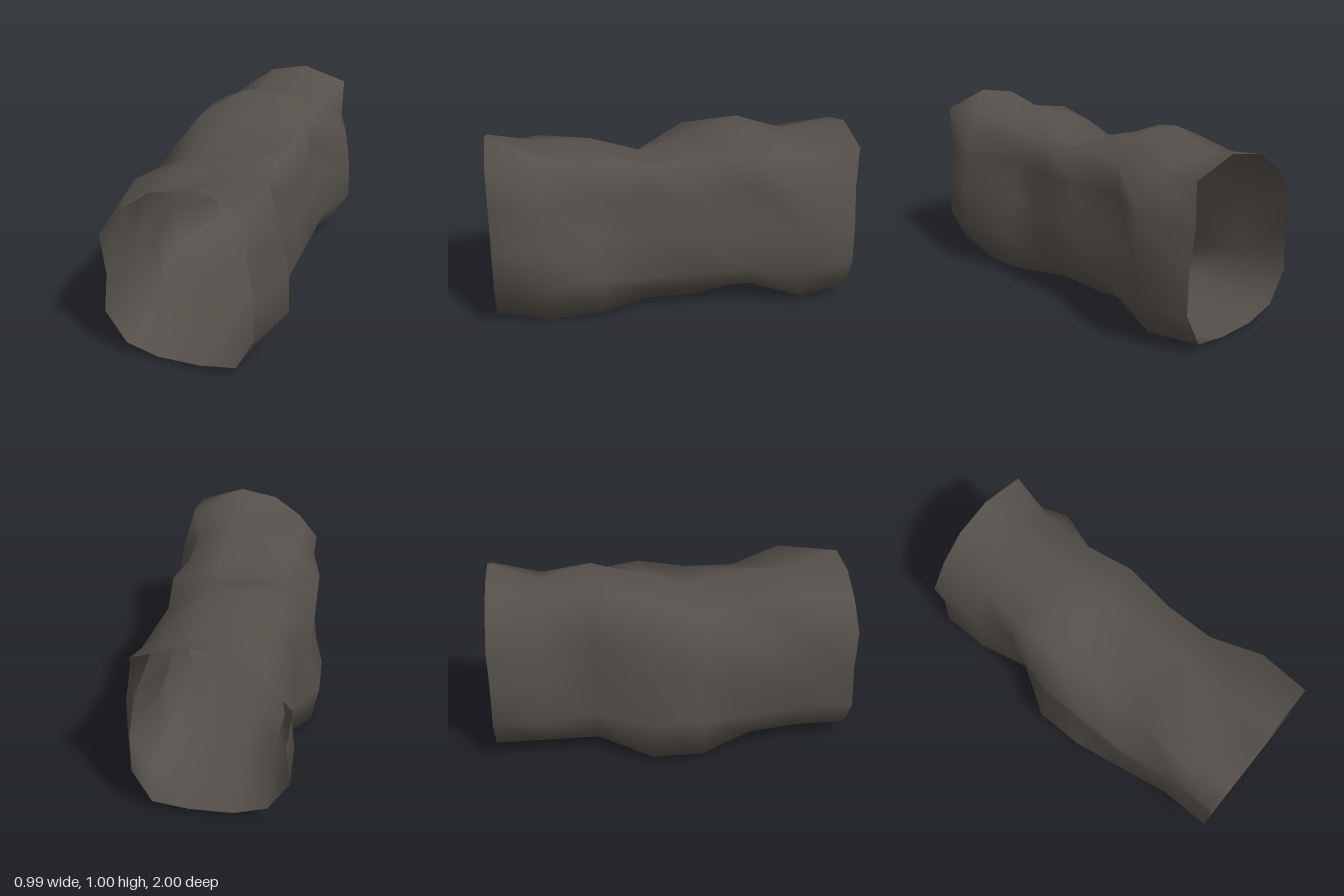
import * as THREE from 'three';

const SPANS = 7;

// Resting cross-section [x, y], counter-clockwise from the +x wall
const OUTLINE = [
  [0.39, 0.47], [0.355, 0.69], [0.3, 0.87], [0.11, 0.9], [-0.11, 0.905], [-0.28, 0.84], [-0.4, 0.69],
  [-0.375, 0.47], [-0.4, 0.25], [-0.29, 0.08], [-0.12, 0.03], [0.11, 0.03], [0.3, 0.115], [0.395, 0.25],
];
const SIDES = OUTLINE.length;

// Dents and bulges: [ring, other ring, first point, last point, dx, dy]
// Rings run from the front mouth (0) to the back mouth (7); negative points
// lie below the start of the outline.
const BUMPS = [
  // both mouths: taller roof, lower corner
  [0, 7, 2, 2, 0.06, 0.05], [0, 7, 3, 3, -0.01, 0.1], [0, 7, 4, 4, -0.01, 0.05], [0, 7, 12, 12, 0, -0.055],
  // +x wall: bulges near the ends, dents between
  [1, 6, -1, 1, 0.09, 0], [2, 5, 0, 1, -0.07, 0], [3, 3, 0, 1, -0.03, 0],
  [1, 1, 2, 2, 0.065, 0.085], [4, 4, 2, 2, 0.03, 0.035],
  // roof: sagging in the middle, raised further back
  [3, 3, 3, 5, 0.02, -0.08], [5, 5, 3, 4, -0.02, 0.085], [4, 5, 5, 5, -0.03, 0.07],
  [1, 1, 5, 5, -0.05, 0.03], [6, 6, 5, 5, 0.02, 0.04],
  // -x wall: swollen in the middle, pinched further back
  [2, 2, 6, 9, -0.05, 0], [3, 4, 6, 7, -0.05, 0], [3, 4, 8, 8, -0.1, 0], [3, 4, 9, 9, -0.17, -0.05],
  [5, 6, 6, 6, 0.03, 0], [5, 5, 7, 8, 0.075, 0],
  // floor
  [1, 1, 12, 12, 0.01, -0.115], [2, 6, 12, 12, 0.06, -0.075], [3, 4, 11, 11, 0.05, -0.03],
];

// A point of the resting outline, shifted by the bumps that cover it
function wallPoint(ring, j) {
  let [x, y] = OUTLINE[j];
  for (const [ringA, ringB, first, last, dx, dy] of BUMPS) {
    const along = (j - first + SIDES) % SIDES;
    if ((ring === ringA || ring === ringB) && along <= last - first) {
      x += dx;
      y += dy;
    }
  }
  return [x, y, 1 - (2 * ring) / SPANS];
}

// Skin the rings into an open, smooth-shaded tube
function tunnelGeometry() {
  const positions = [];
  const indices = [];
  for (let ring = 0; ring <= SPANS; ring++) {
    for (let j = 0; j < SIDES; j++) {
      positions.push(...wallPoint(ring, j));
      if (ring === SPANS) continue;
      const a = ring * SIDES + j;
      const b = ring * SIDES + ((j + 1) % SIDES);
      indices.push(a, a + SIDES, b, b, a + SIDES, b + SIDES);
    }
  }
  const geometry = new THREE.BufferGeometry();
  geometry.setAttribute('position', new THREE.Float32BufferAttribute(positions, 3));
  geometry.setIndex(indices);
  geometry.computeVertexNormals();
  return geometry;
}

export function createModel() {
  const rock = new THREE.MeshStandardMaterial({ color: 0x55504a, side: THREE.DoubleSide });
  rock.name = 'dark rock';

  const tunnel = new THREE.Mesh(tunnelGeometry(), rock);
  tunnel.name = 'tunnelWall';

  const model = new THREE.Group();
  model.name = 'rockTunnel';
  model.add(tunnel);
  return model;
}
